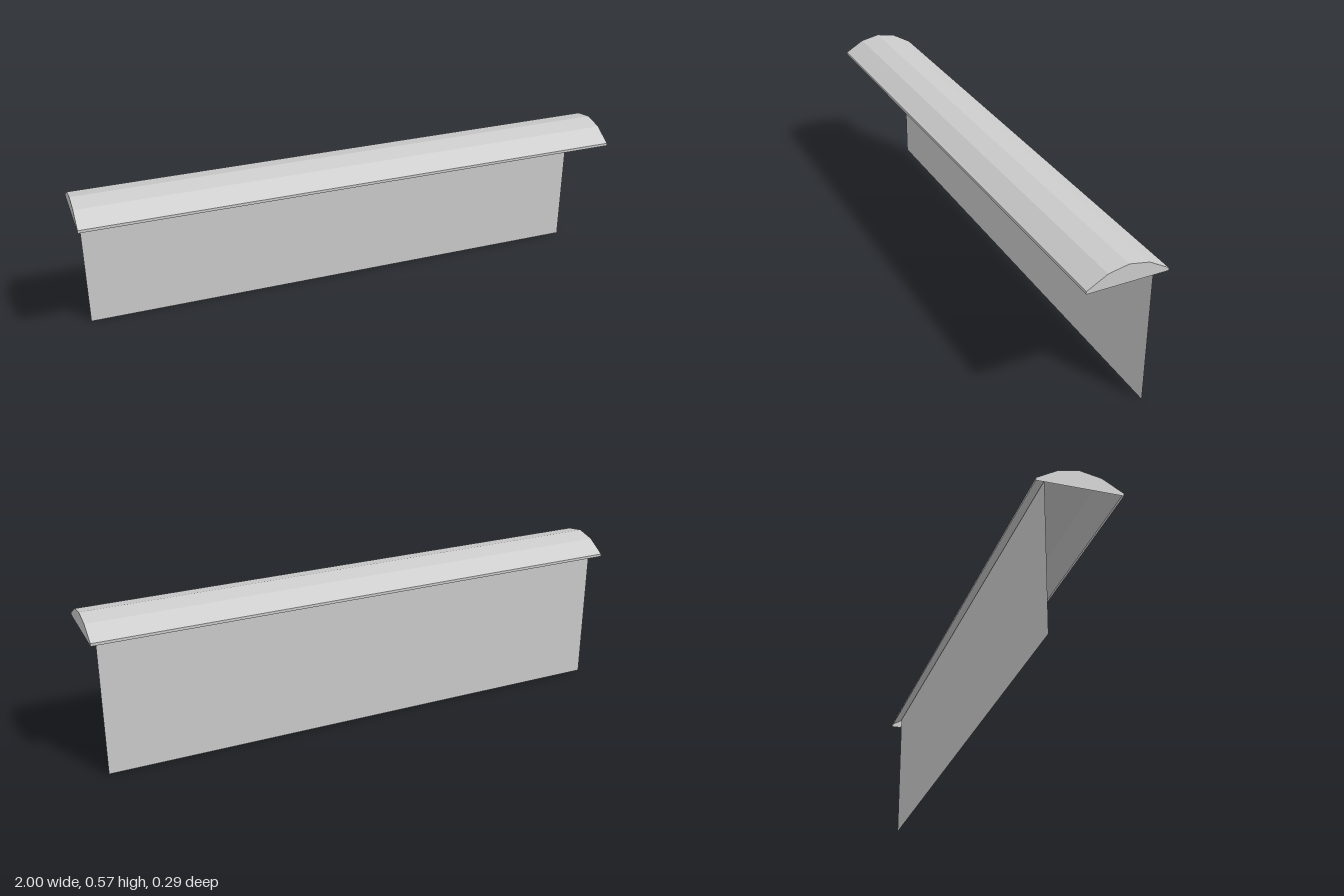
import * as THREE from 'three';

// Half-hood cross-section as [z, y], from the back lip to the front lip
const half = [[0.144, 0.503], [0.144, 0.513], [0.072, 0.554]];
const profile = [
  ...half.map(([z, y]) => [-z, y]),
  [0, 0.568],
  ...half.slice().reverse(),
];

export function createModel() {
  const group = new THREE.Group();
  const grey = new THREE.MeshStandardMaterial({ color: 0xcccccc });
  grey.side = THREE.DoubleSide;
  grey.flatShading = true;

  const add = (name, geometry) => {
    const mesh = new THREE.Mesh(geometry, grey);
    mesh.name = name;
    group.add(mesh);
    return mesh;
  };

  // Faceted hood, open underneath: a sheet whose rows follow the profile
  const sheet = new THREE.PlaneGeometry(2, 1, 1, profile.length - 1);
  const pos = sheet.attributes.position;
  for (let i = 0; i < pos.count; i++) {
    const [z, y] = profile[Math.floor(i / 2)];
    pos.setXYZ(i, pos.getX(i), y, z);
  }
  const hood = sheet.toNonIndexed();
  hood.computeVertexNormals();
  add('hood', hood);

  // End caps closing the hood on both sides
  const capShape = new THREE.Shape(profile.map(([z, y]) => new THREE.Vector2(z, y)));
  for (const side of [-1, 1]) {
    const cap = add(side > 0 ? 'leftEndCap' : 'rightEndCap', new THREE.ShapeGeometry(capShape));
    cap.rotation.y = side * Math.PI / 2;
    cap.position.x = side;
  }

  // Thin hanging panel, set towards the back of the hood
  const panel = add('hangingPanel', new THREE.PlaneGeometry(1.945, 0.53));
  panel.position.set(0.003, 0.265, -0.106);

  return group;
}
